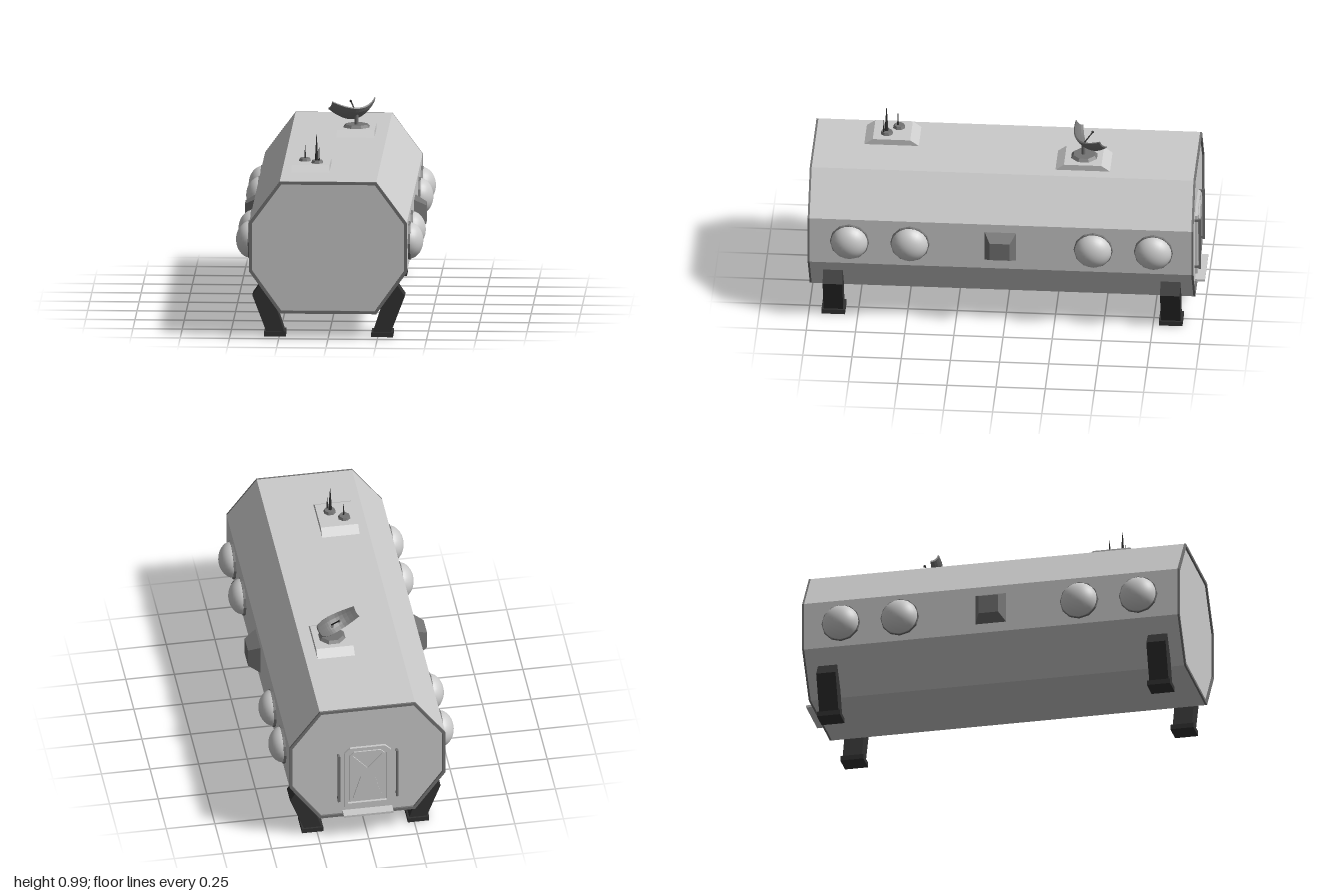
import * as THREE from 'three';

const mat = (color, flat = true) => new THREE.MeshStandardMaterial({ color, flatShading: flat });
const GREY = mat(0xcccccc), SMOOTH = mat(0xcccccc, false), TRIM = mat(0x737373), DARK = mat(0x323232);

// Outline of the hull; inset shrinks it for the rim opening
function octagon(inset = 0) {
  const a = 0.245 - inset * 0.5, b = 0.4 - inset;
  const pts = [[-a, 0.13 + inset], [a, 0.13 + inset], [b, 0.345 + inset * 0.4], [b, 0.6 - inset * 0.4],
    [a, 0.81 - inset], [-a, 0.81 - inset], [-b, 0.6 - inset * 0.4], [-b, 0.345 + inset * 0.4]];
  return pts.map(([x, y]) => new THREE.Vector2(x, y));
}

const extrude = (shape, depth) => new THREE.ExtrudeGeometry(shape, { depth, bevelEnabled: false });
const polygon = (pts) => new THREE.Shape(pts.map(([x, y]) => new THREE.Vector2(x, y)));

// Box whose upper face is scaled by (sx, sz)
function taperedBox(w, h, d, sx, sz) {
  const g = new THREE.BoxGeometry(w, h, d), p = g.attributes.position;
  for (let i = 0; i < p.count; i++) {
    if (p.getY(i) > 0) { p.setX(i, p.getX(i) * sx); p.setZ(i, p.getZ(i) * sz); }
  }
  g.computeVertexNormals();
  return g;
}

export function createModel() {
  const model = new THREE.Group();
  model.name = 'habitatModule';
  const add = (parent, name, geometry, material, x = 0, y = 0, z = 0) => {
    const m = new THREE.Mesh(geometry, material);
    m.name = name;
    m.position.set(x, y, z);
    parent.add(m);
    return m;
  };

  // Hull and raised end rims
  add(model, 'hull', extrude(new THREE.Shape(octagon()), 1.94), GREY, 0, 0, -0.95);
  const rim = new THREE.Shape(octagon());
  rim.holes.push(new THREE.Path(octagon(0.015)));
  const rimGeo = extrude(rim, 0.01);
  add(model, 'frontRim', rimGeo, TRIM, 0, 0, 0.99);
  add(model, 'backRim', rimGeo, TRIM, 0, 0, -0.96);

  // Each side: domed windows and a tapered port
  const domeGeo = new THREE.SphereGeometry(0.094, 24, 10, 0, Math.PI * 2, 0, Math.PI / 2);
  for (const s of [1, -1]) {
    for (const z of [0.787, 0.48, -0.452, -0.758]) {
      const win = new THREE.Group();
      win.name = 'window';
      win.position.set(s * 0.4, 0.473, z);
      win.rotation.z = -s * Math.PI / 2;
      add(win, 'windowRing', new THREE.CylinderGeometry(0.098, 0.1, 0.012, 12), TRIM, 0, 0.006, 0);
      add(win, 'windowDome', domeGeo, SMOOTH).scale.y = 0.8;
      model.add(win);
    }
    const port = add(model, 'sidePort', taperedBox(0.16, 0.06, 0.16, 0.6, 0.64), TRIM, s * 0.43, 0.475, 0.02);
    port.rotation.z = -s * Math.PI / 2;
  }

  // Angled legs with block feet
  for (const s of [1, -1]) {
    for (const z of [0.875, -0.84]) {
      const leg = new THREE.Group();
      leg.name = 'leg';
      const pts = [[0.225, 0.02], [0.315, 0.02], [0.387, 0.21], [0.346, 0.27], [0.27, 0.16]];
      add(leg, 'legStrut', extrude(polygon(pts.map(([x, y]) => [s * x, y])), 0.1), DARK, 0, 0, z - 0.05);
      add(leg, 'foot', new THREE.BoxGeometry(0.11, 0.025, 0.12), DARK, s * 0.272, 0.0125, z);
      model.add(leg);
    }
  }

  // Roof pads
  const padGeo = taperedBox(0.192, 0.032, 0.28, 1, 0.68);
  add(model, 'antennaPad', padGeo, GREY, -0.1, 0.825, 0.602);
  add(model, 'dishPad', padGeo, GREY, 0.088, 0.825, -0.383);

  // Whip antennas on octagonal bases
  const base = (name, r, x, z) => {
    const m = add(model, name, new THREE.CylinderGeometry(r * 0.8, r, 0.015, 8), TRIM, x, 0.8475, z);
    m.rotation.y = Math.PI / 8;
  };
  base('antennaBase', 0.033, -0.135, 0.572);
  base('antennaBase', 0.033, -0.07, 0.63);
  for (const [x, z, h, r] of [[-0.133, 0.578, 0.07, 0.005], [-0.073, 0.632, 0.135, 0.01], [-0.06, 0.645, 0.07, 0.005]]) {
    add(model, 'antennaWhip', new THREE.CylinderGeometry(0.0012, r, h, 6), DARK, x, 0.852 + h / 2, z);
  }

  // Dish: curved trough tilted up and backward, on a short post
  base('dishBase', 0.072, 0.088, -0.385);
  add(model, 'dishPost', new THREE.CylinderGeometry(0.011, 0.011, 0.06, 8), TRIM, 0.088, 0.875, -0.38);
  const dish = new THREE.Group();
  dish.name = 'dish';
  dish.position.set(0.09, 0.905, -0.375);
  dish.rotation.set(-Math.PI / 4, Math.PI + 0.57, 0, 'YXZ');
  const bowl = new THREE.BoxGeometry(0.25, 0.09, 0.008, 14, 4, 1), p = bowl.attributes.position;
  for (let i = 0; i < p.count; i++) {
    const u = p.getX(i) / 0.125, v = p.getY(i) / 0.045;
    p.setY(i, p.getY(i) * (1 - 0.35 * u * u));
    p.setZ(i, p.getZ(i) + 0.065 * u * u + 0.008 * v * v);
  }
  bowl.computeVertexNormals();
  add(dish, 'dishBowl', bowl, TRIM);
  add(dish, 'dishFeed', new THREE.CylinderGeometry(0.003, 0.004, 0.085, 6), DARK, 0, 0, 0.0425).rotation.x = Math.PI / 2;
  add(dish, 'dishFeedTip', new THREE.SphereGeometry(0.007, 8, 6), DARK, 0, 0, 0.085);
  model.add(dish);

  // Back door: frame with clipped upper corners, panel and raised four-point star
  const door = new THREE.Group();
  door.name = 'backDoor';
  const outline = (w, b, t, c) => [[-w, b], [w, b], [w, t - c], [w - c, t], [c - w, t], [-w, t - c]];
  const frame = polygon(outline(0.12, 0.19, 0.56, 0.03));
  frame.holes.push(polygon(outline(0.1, 0.21, 0.54, 0.025)));
  add(door, 'doorFrame', extrude(frame, 0.014), GREY, 0, 0, -0.963);
  add(door, 'doorPanel', extrude(polygon(outline(0.09, 0.22, 0.53, 0.022)), 0.008), GREY, 0, 0, -0.957);
  const star = [[-0.075, 0.24], [0, 0.325], [0.075, 0.24], [0.035, 0.375],
    [0.075, 0.51], [0, 0.425], [-0.075, 0.51], [-0.035, 0.375]];
  add(door, 'doorStar', extrude(polygon(star), 0.008), GREY, 0, 0, -0.963);
  model.add(door);

  // Handrails with standoffs, and the step
  for (const s of [1, -1]) {
    add(model, 'handrail', new THREE.BoxGeometry(0.012, 0.29, 0.012), TRIM, s * 0.15, 0.385, -0.976);
    for (const y of [0.25, 0.52]) {
      add(model, 'railMount', new THREE.BoxGeometry(0.01, 0.012, 0.028), TRIM, s * 0.15, y, -0.96);
    }
  }
  add(model, 'step', new THREE.BoxGeometry(0.255, 0.012, 0.05), GREY, 0, 0.156, -0.975);

  return model;
}
